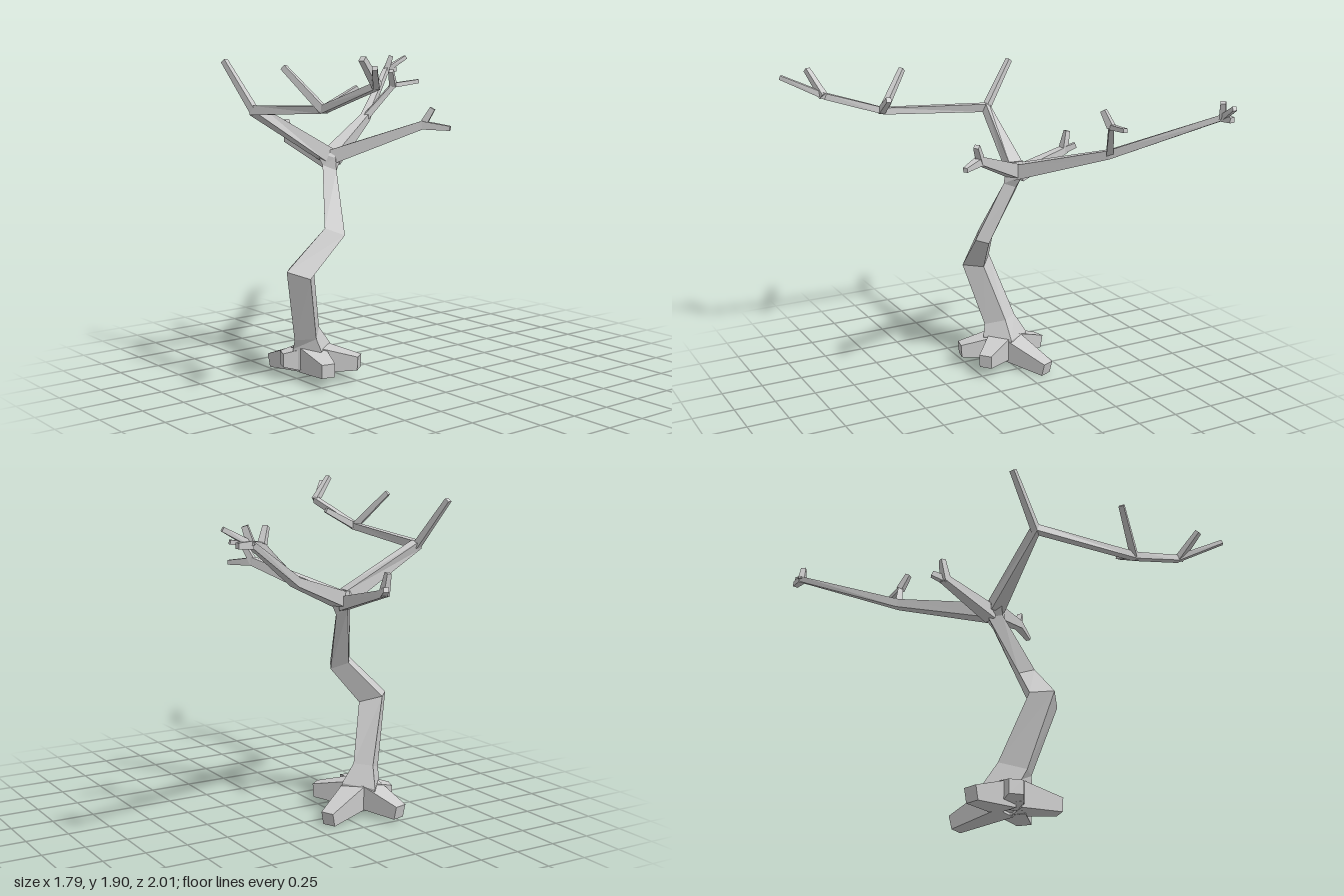
import * as THREE from 'three';

const V = (p) => new THREE.Vector3(...p);
const material = new THREE.MeshStandardMaterial({ color: 0xcccccc, flatShading: true });

// Skin a list of four-cornered rings (counter-clockwise about the growth direction) and cap both ends.
function loft(name, rings) {
  const pos = [];
  const quad = (a, b, c, d) => [a, b, c, a, c, d].forEach((p) => pos.push(p.x, p.y, p.z));
  for (let i = 0; i < rings.length - 1; i++) {
    for (let k = 0; k < 4; k++) {
      const n = (k + 1) % 4;
      quad(rings[i][k], rings[i][n], rings[i + 1][n], rings[i + 1][k]);
    }
  }
  const [a, b, c, d] = rings[0];
  quad(d, c, b, a);
  quad(...rings[rings.length - 1]);
  const geometry = new THREE.BufferGeometry();
  geometry.setAttribute('position', new THREE.Float32BufferAttribute(pos, 3));
  geometry.computeVertexNormals();
  const mesh = new THREE.Mesh(geometry, material);
  mesh.name = name;
  return mesh;
}

// Square-section limb along points, with a half-width at each point.
function limb(name, points, halfWidths) {
  const p = points.map(V);
  const rings = p.map((q, i) => {
    const t = new THREE.Vector3();
    if (i > 0) t.add(q.clone().sub(p[i - 1]).normalize());
    if (i < p.length - 1) t.add(p[i + 1].clone().sub(q).normalize());
    t.normalize();
    const up = Math.abs(t.y) > 0.97 ? V([0, 0, 1]) : V([0, 1, 0]);
    const u = up.cross(t).normalize();
    const v = t.clone().cross(u);
    const h = halfWidths[i];
    return [[1, 1], [-1, 1], [-1, -1], [1, -1]].map(([s, r]) =>
      q.clone().addScaledVector(u, s * h).addScaledVector(v, r * h));
  });
  return loft(name, rings);
}

export function createModel() {
  const tree = new THREE.Group();
  tree.name = 'bareTree';

  // Trunk: corners run left, front, right, back; flared foot, two bends, swollen crown
  const trunk = [
    [[-0.53, 0.07, -0.24], [-0.43, 0.07, -0.1], [-0.29, 0.06, -0.22], [-0.4, 0.06, -0.38]],
    [[-0.53, 0.19, -0.24], [-0.43, 0.19, -0.1], [-0.28, 0.19, -0.22], [-0.4, 0.18, -0.39]],
    [[-0.54, 0.25, -0.21], [-0.45, 0.26, -0.12], [-0.36, 0.3, -0.22], [-0.43, 0.3, -0.32]],
    [[-0.655, 0.68, -0.11], [-0.555, 0.64, -0.02], [-0.46, 0.64, -0.12], [-0.565, 0.68, -0.21]],
    [[-0.42, 0.91, -0.07], [-0.33, 0.87, 0], [-0.29, 0.85, -0.07], [-0.37, 0.89, -0.14]],
    [[-0.325, 1.25, -0.22], [-0.27, 1.22, -0.16], [-0.23, 1.2, -0.22], [-0.27, 1.24, -0.28]],
    [[-0.355, 1.33, -0.25], [-0.27, 1.29, -0.17], [-0.18, 1.28, -0.24], [-0.27, 1.3, -0.31]],
    [[-0.32, 1.345, -0.25], [-0.27, 1.345, -0.2], [-0.22, 1.335, -0.24], [-0.27, 1.345, -0.29]],
  ];
  tree.add(loft('trunk', trunk.map((ring) => ring.map(V))));

  // Roots: inner end, outer end
  const roots = [
    [[-0.42, 0.12, -0.28], [-0.485, 0.065, -0.52]],
    [[-0.37, 0.12, -0.25], [-0.09, 0.045, -0.37]],
    [[-0.43, 0.125, -0.2], [-0.48, 0.11, 0.04]],
    [[-0.37, 0.125, -0.19], [-0.225, 0.11, -0.01]],
    [[-0.43, 0.125, -0.25], [-0.57, 0.125, -0.3]],
  ];
  roots.forEach(([a, b]) => tree.add(limb('root', [a, b], [0.075, 0.04])));

  // Branches: a main path, then twigs that leave from its joints
  const branches = [
    {
      name: 'leftBranch',
      path: [[-0.29, 1.31, -0.24], [-0.74, 1.58, -0.28], [-0.76, 1.625, 0.4], [-0.71, 1.76, 0.78], [-0.88, 1.86, 0.99]],
      widths: [0.042, 0.028, 0.02, 0.018, 0.012],
      twigs: [
        [[-0.74, 1.57, -0.28], [-0.81, 1.85, -0.48]],
        [[-0.76, 1.625, 0.4], [-0.88, 1.84, 0.22]],
        [[-0.76, 1.625, 0.41], [-0.57, 1.73, 0.44]],
        [[-0.71, 1.76, 0.79], [-0.84, 1.9, 0.84]],
      ],
    },
    {
      name: 'rightBackBranch',
      path: [[-0.25, 1.29, -0.23], [0.25, 1.47, -0.57], [0.74, 1.74, -0.98], [0.88, 1.82, -0.95]],
      widths: [0.045, 0.025, 0.016, 0.012],
      twigs: [
        [[0.25, 1.47, -0.57], [0.4, 1.67, -0.48], [0.58, 1.69, -0.455]],
        [[0.4, 1.67, -0.48], [0.36, 1.76, -0.45]],
        [[0.74, 1.74, -0.98], [0.82, 1.74, -0.985]],
        [[0.74, 1.735, -0.98], [0.765, 1.83, -0.96]],
      ],
    },
    {
      name: 'frontBranch',
      path: [[-0.26, 1.29, -0.23], [0.09, 1.485, 0.18], [0.18, 1.47, 0.315]],
      widths: [0.042, 0.024, 0.013],
      twigs: [[[0.09, 1.48, 0.175], [0.13, 1.58, 0.22]]],
    },
    {
      name: 'backBranch',
      path: [[-0.26, 1.27, -0.25], [-0.305, 1.37, -0.59], [-0.31, 1.485, -0.615]],
      widths: [0.04, 0.024, 0.014],
      twigs: [[[-0.305, 1.365, -0.58], [-0.27, 1.4, -0.655]]],
    },
  ];
  for (const { name, path, widths, twigs } of branches) {
    const group = new THREE.Group();
    group.name = name;
    group.add(limb('mainLimb', path, widths));
    twigs.forEach((t) => group.add(limb('twig', t, [0.02, 0.015, 0.012].slice(0, t.length))));
    tree.add(group);
  }
  return tree;
}
